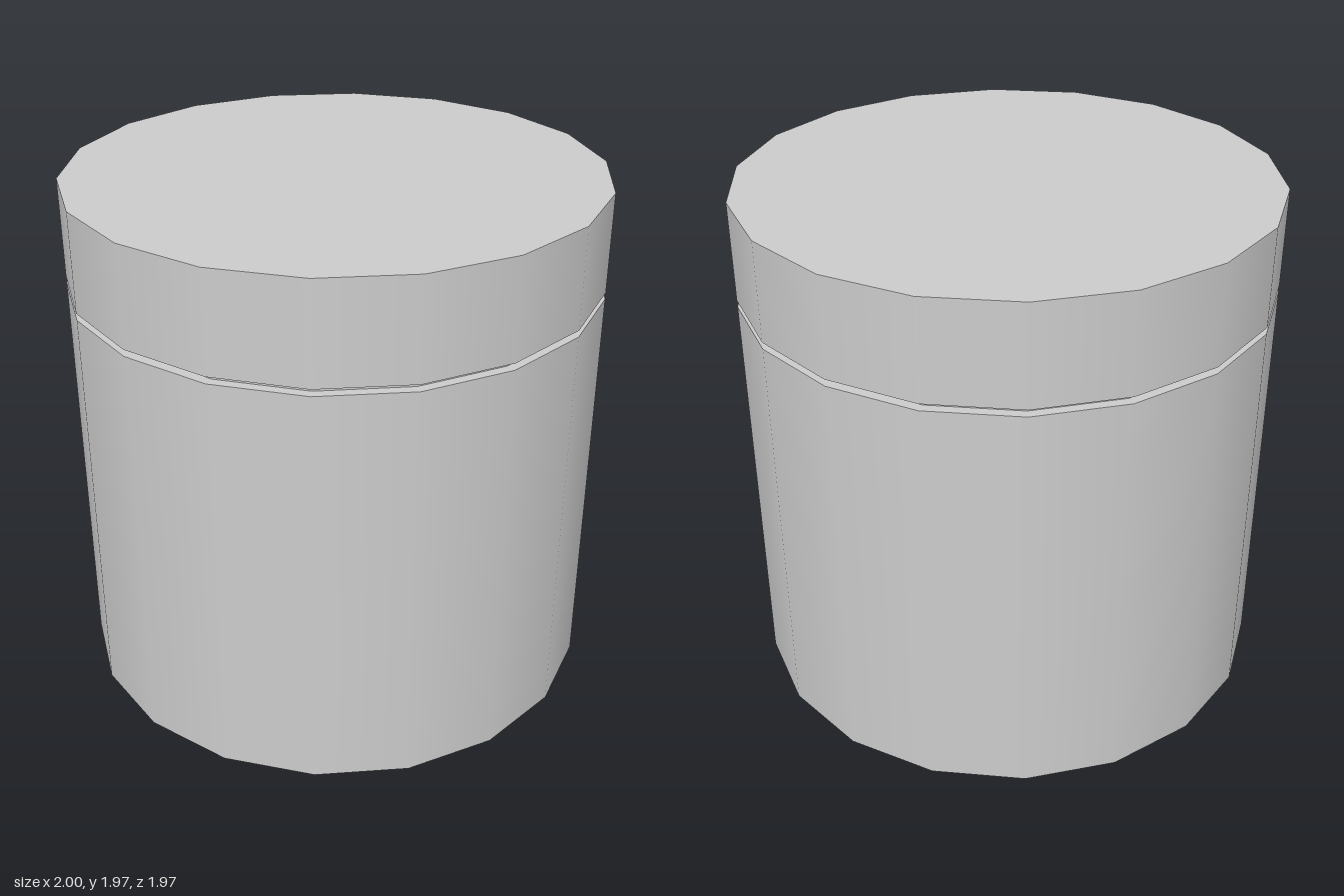
import * as THREE from 'three';

const SIDES = 18;
const BODY_TOP = 1.57, LID_BOTTOM = 1.595, LID_TOP = 1.97;

export function createModel() {
  const group = new THREE.Group();
  const material = new THREE.MeshStandardMaterial({ color: 0xcccccc });

  // Upright drum from y0 to y1, with a corner pointing along +x
  const addDrum = (name, radius, y0, y1, open = false) => {
    const geometry = new THREE.CylinderGeometry(radius, radius, y1 - y0, SIDES, 1, open, Math.PI / 2);
    const mesh = new THREE.Mesh(geometry, material);
    mesh.name = name;
    mesh.position.y = (y0 + y1) / 2;
    group.add(mesh);
  };

  addDrum('body', 1, 0, BODY_TOP);
  // Recessed ring that leaves a thin groove under the lid
  addDrum('neck', 0.963, BODY_TOP, LID_BOTTOM, true);
  addDrum('lid', 1, LID_BOTTOM, LID_TOP);

  return group;
}
